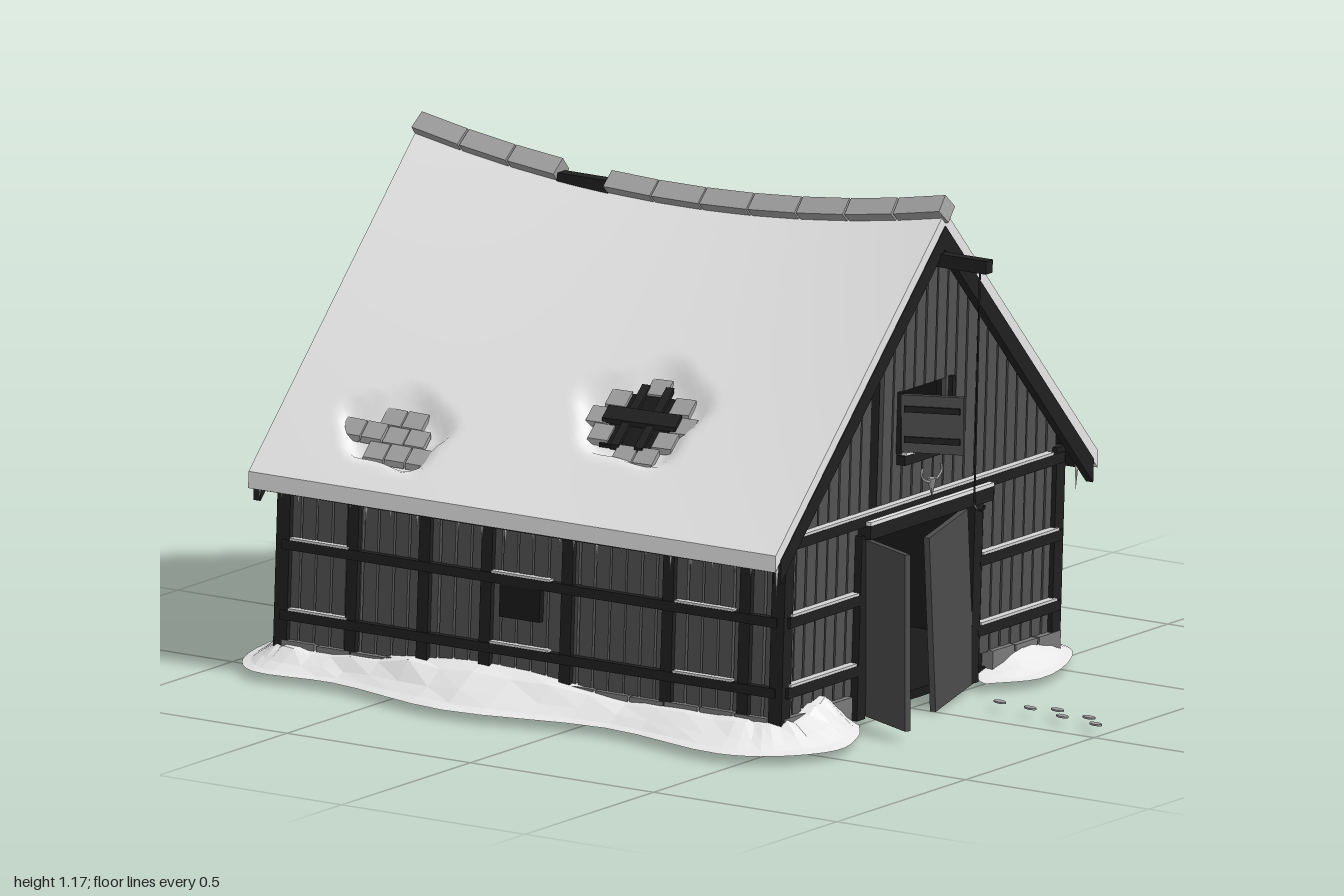
import * as THREE from 'three';

const paint = (name, color, extra = {}) => Object.assign(new THREE.MeshStandardMaterial({ color, ...extra }), { name });
const M = {
  snow: paint('snow', 0xececec),
  drift: paint('drift snow', 0xe8e8e8, { flatShading: true, side: THREE.DoubleSide }),
  plank: paint('weathered plank', 0x525252),
  timber: paint('dark timber', 0x202020),
  inside: paint('interior black', 0x191919),
  door: paint('door wood', 0x4c4c4c),
  slate: paint('slate', 0xa2a2a2),
  stone: paint('foundation stone', 0x7a7a7a),
  ice: paint('ice', 0xd4d4d4),
};

let seed = 7;
const rnd = () => (seed = (seed * 16807) % 2147483647) / 2147483647;

function add(parent, name, geo, mat, x = 0, y = 0, z = 0) {
  const m = new THREE.Mesh(geo, mat);
  m.name = name;
  m.position.set(x, y, z);
  parent.add(m);
  return m;
}
const box = (p, name, mat, w, h, d, x, y, z) => add(p, name, new THREE.BoxGeometry(w, h, d), mat, x, y, z);

const FRONT = 0.5, BACK = -0.85, HALF = 0.525, EAVE = 0.627;
const sagU = z => (z + 0.17) / 0.72;
// Snow surface height: t runs from ridge (0) to eave (1), the ridge sags mid-length
const roofY = (t, z) => THREE.MathUtils.lerp(1.135 - 0.07 * (1 - sagU(z) ** 2), 0.47, t);

// Holes in the snow: side, t, z, radius in t, radius in z
const holes = [
  { side: 1, t: 0.745, z: -0.16, rt: 0.1, rz: 0.17 },
  { side: 1, t: 0.55, z: -0.625, rt: 0.075, rz: 0.095 },
  { side: -1, t: 0.645, z: 0.02, rt: 0.125, rz: 0.14, open: true },
  { side: -1, t: 0.81, z: -0.575, rt: 0.09, rz: 0.12 },
];
const holeDist = (h, t, z) => {
  const a = (t - h.t) / h.rt, b = (z - h.z) / h.rz, ang = Math.atan2(a, b);
  return Math.hypot(a, b) * (1 + 0.09 * Math.sin(5 * ang) + 0.06 * Math.cos(3 * ang));
};

// A slab that follows the sagging roof between two depths below its surface
function roofSlab(p, name, mat, side, t0, t1, z0, z1, top, bottom, nt = 1, nz = 1, dent = false) {
  const g = new THREE.BoxGeometry(1, 1, 1, nt, 1, nz), a = g.attributes.position;
  for (let i = 0; i < a.count; i++) {
    const t = t0 + (t1 - t0) * (0.5 + side * a.getX(i));
    const z = z0 + (z1 - z0) * (a.getZ(i) + 0.5);
    let drop = a.getY(i) > 0 ? top : bottom;
    if (dent && a.getY(i) > 0)
      for (const h of holes) if (h.side === side)
        drop += 0.033 * (1 - THREE.MathUtils.smoothstep(holeDist(h, t, z), 0.85, 1.3));
    a.setXYZ(i, side * EAVE * t, roofY(t, z) - drop, z);
  }
  g.computeVertexNormals();
  return add(p, name, g, mat);
}

function buildRoof(barn) {
  for (const s of [1, -1]) {
    roofSlab(barn, 'roofSnow', M.snow, s, 0, 1, -0.89, 0.548, 0, 0.038, 44, 76, true);
    roofSlab(barn, 'roofDeck', M.timber, s, 0, 0.98, -0.88, 0.538, 0.038, 0.055, 1, 20);
    for (const z of [0.53, -0.888]) roofSlab(barn, 'bargeBoard', M.timber, s, 0, 0.97, z, z + 0.02, 0.034, 0.088);
    // Icicles under the eaves
    for (let z = -0.87; z < 0.54; z += 0.035 + 0.04 * rnd()) {
      const len = 0.025 + 0.045 * rnd() * rnd() + (z > 0.48 ? 0.03 : 0);
      const c = add(barn, 'icicle', new THREE.ConeGeometry(0.005, len, 5), M.ice, s * (EAVE - 0.018), 0.44 - len / 2, z);
      c.rotation.x = Math.PI;
    }
  }
  // Slates and battens exposed in the holes
  for (const h of holes) {
    if (h.open) {
      roofSlab(barn, 'roofOpening', M.inside, h.side, h.t - 0.08, h.t + 0.08, h.z - 0.08, h.z + 0.08, 0.022, 0.03);
      for (const dz of [-0.045, 0.02]) roofSlab(barn, 'rafter', M.timber, h.side, h.t - 0.1, h.t + 0.09, h.z + dz, h.z + dz + 0.022, 0.012, 0.024);
      roofSlab(barn, 'batten', M.timber, h.side, h.t - 0.02, h.t + 0.02, h.z - 0.1, h.z + 0.1, 0.009, 0.02);
    }
    for (let r = -3; r <= 3; r++) for (let c = -4; c <= 4; c++) {
      const t = h.t + r * 0.052, z = h.z + (c + (r & 1) * 0.5) * 0.058, d = holeDist(h, t, z);
      if (d > 0.92 || (h.open && d < 0.72)) continue;
      const top = 0.013 + 0.006 * rnd();
      roofSlab(barn, 'slate', M.slate, h.side, t - 0.024, t + 0.024, z - 0.027, z + 0.027, top, top + 0.014);
    }
  }
  // Ridge caps with one missing
  box(barn, 'ridgeBeam', M.timber, 0.03, 0.03, 0.14, 0, roofY(0, -0.43) - 0.005, -0.43);
  const len = 1.445 / 11;
  for (let i = 0; i < 11; i++) {
    if (i === 7) continue;
    const z = 0.555 - (i + 0.5) * len;
    const cap = box(barn, 'ridgeCap', M.slate, 0.044, 0.044, len - 0.004, 0, roofY(0, z) + 0.005, z);
    cap.rotation.set(-Math.atan(0.14 * sagU(z) / 0.72), 0, Math.PI / 4);
  }
}

const DOOR = [-0.225, 0.185, 0.02, 0.44], HATCH = [-0.1, 0.098, 0.6, 0.735];
const gableTop = (x, z) => roofY(Math.abs(x) / EAVE, z) - 0.05;
const poly = pts => new THREE.Shape(pts.map(p => new THREE.Vector2(...p)));
const extrude = (shape, depth) => new THREE.ExtrudeGeometry(shape, { depth, bevelEnabled: false });

function buildGable(barn, z, dir) {
  const isFront = dir > 0;
  // Dark wall core behind the boards
  const core = poly([[-HALF, 0.02], [HALF, 0.02], [HALF, gableTop(HALF, z)], [0, gableTop(0, z)], [-HALF, gableTop(HALF, z)]]);
  if (isFront) for (const [a, b, c, d] of [DOOR, HATCH])
    core.holes.push(poly([[a, c + 0.005], [a, d], [b, d], [b, c + 0.005]]));
  add(barn, 'gableCore', extrude(core, 0.02), M.inside, 0, 0, z - dir * 0.02 - 0.01);
  // Vertical boards, one missing above the beam
  const n = 26, w = 2 * HALF / n;
  for (let i = 0; i < n; i++) {
    const x0 = -HALF + i * w + 0.002, x1 = x0 + w - 0.004 - 0.003 * rnd(), xc = (x0 + x1) / 2;
    const within = o => isFront && xc > o[0] && xc < o[1];
    const full = [within(DOOR) ? DOOR[3] : 0.075, null];
    let spans = [full];
    if (within(HATCH)) spans = [[full[0], HATCH[2]], [HATCH[3], null]];
    if (i === 8) spans = within(DOOR) ? [] : [[0.075, 0.47]];
    for (const [a, b] of spans)
      add(barn, 'gableBoard', extrude(poly([[x0, a], [x1, a], [x1, b ?? gableTop(x1, z)], [x0, b ?? gableTop(x0, z)]]), 0.012), M.plank, 0, 0, z - 0.006);
  }
  // Cross beams with snow lying on them
  const zb = z + dir * 0.012;
  const beam = (a, b, y) => {
    box(barn, 'crossBeam', M.timber, b - a, 0.024, 0.028, (a + b) / 2, y, zb);
    box(barn, 'beamSnow', M.ice, (b - a) * 0.92, 0.006, 0.02, (a + b) / 2, y + 0.015, zb + dir * 0.003);
  };
  beam(-0.53, 0.53, 0.472);
  for (const y of [0.295, 0.135])
    if (isFront) { beam(-0.53, -0.25, y); beam(0.21, 0.53, y); } else beam(-0.53, 0.53, y);
  for (let x = -0.49; x < 0.5; x += 0.09) if (!isFront || x < -0.27 || x > 0.24)
    box(barn, 'foundationStone', M.stone, 0.084, 0.05 + 0.01 * rnd(), 0.03, x, 0.048, z + dir * 0.005);
}

function buildSide(barn, s) {
  const mid = (FRONT + BACK) / 2, len = FRONT - BACK, n = 32, x = s * HALF;
  box(barn, 'sideCore', M.inside, 0.02, 0.46, len, x - s * 0.016, 0.25, mid);
  for (let i = 0; i < n; i++) {
    const w = len / n;
    box(barn, 'sideBoard', M.plank, 0.012, 0.42, w - 0.004 - 0.003 * rnd(), x, 0.285, BACK + (i + 0.5) * w);
  }
  for (const z of [0.41, 0.2, -0.075, -0.295, -0.465, -0.66]) box(barn, 'sidePost', M.timber, 0.024, 0.43, 0.03, x + s * 0.006, 0.28, z);
  for (const y of [0.295, 0.135]) {
    box(barn, 'sideBeam', M.timber, 0.028, 0.022, len, x + s * 0.008, y, mid);
    for (const z of [-0.75, -0.2, 0.3]) box(barn, 'beamSnow', M.ice, 0.018, 0.005, 0.16, x + s * 0.012, y + 0.0135, z);
  }
  for (let z = -0.8; z < 0.48; z += 0.095) box(barn, 'foundationStone', M.stone, 0.03, 0.05 + 0.012 * rnd(), 0.089, x + s * 0.004, 0.048, z);
  for (const z of [FRONT, BACK]) box(barn, 'cornerPost', M.timber, 0.034, 0.46, 0.036, s * 0.526, 0.265, z);
  if (s > 0) for (const z of [-0.34, -0.38, -0.42]) box(barn, 'sideDoorBatten', M.timber, 0.006, 0.34, 0.008, x + 0.008, 0.25, z);
  else box(barn, 'sideHatch', M.inside, 0.03, 0.08, 0.11, x - 0.006, 0.25, -0.2);
}

function buildFrontDetails(barn, root) {
  for (const x of [-0.24, 0.2]) box(barn, 'doorJamb', M.timber, 0.032, 0.42, 0.04, x, 0.23, 0.505);
  box(barn, 'doorLintel', M.timber, 0.48, 0.032, 0.05, -0.005, 0.448, 0.515);
  box(barn, 'lintelSnow', M.snow, 0.48, 0.008, 0.05, -0.005, 0.468, 0.515);
  for (const x of HATCH.slice(0, 2)) box(barn, 'hatchFrame', M.timber, 0.012, 0.14, 0.025, x, 0.667, 0.505);
  box(barn, 'hatchSill', M.timber, 0.2, 0.022, 0.035, -0.003, 0.583, 0.512);
  box(barn, 'sillSnow', M.snow, 0.19, 0.007, 0.03, -0.003, 0.597, 0.514);
  box(barn, 'hoistBeam', M.timber, 0.026, 0.03, 0.19, -0.005, 1.025, 0.58);
  // Swung leaves: hinge x, y, z, then free end x, z, height and sag
  const leaf = (name, mat, hx, y, hz, fx, fz, h, sag = 0) => {
    const g = new THREE.Group(), w = Math.hypot(fx - hx, fz - hz);
    g.name = name;
    g.position.set(hx, y, hz);
    g.rotation.set(0, Math.atan2(hz - fz, fx - hx), -sag);
    box(g, name + 'Panel', mat, w, h, 0.014, w / 2, h / 2, 0);
    root.add(g);
    return [g, w];
  };
  leaf('rightDoorLeaf', M.door, -0.2, 0.025, 0.52, -0.275, 0.685, 0.405);
  leaf('leftDoorLeaf', M.door, 0.215, 0.02, 0.515, 0.0, 0.56, 0.408, 0.09);
  const [shutter, w] = leaf('hatchShutter', M.door, -0.055, 0.602, 0.515, -0.003, 0.648, 0.132);
  for (const y of [0.03, 0.1]) box(shutter, 'shutterBatten', M.timber, w * 0.9, 0.014, 0.024, w / 2, y, 0);
  // Hoist rope and hook
  const rope = new THREE.LineCurve3(new THREE.Vector3(0.056, 1.02, 0.65), new THREE.Vector3(0.034, 0.49, 0.65));
  add(root, 'hoistRope', new THREE.TubeGeometry(rope, 1, 0.0025, 5), M.timber);
  const hook = add(root, 'hoistHook', new THREE.TorusGeometry(0.014, 0.003, 5, 10, Math.PI * 1.2), M.timber, 0.034, 0.484, 0.664);
  hook.rotation.set(0, Math.PI / 2, Math.PI);
  // Antlered skull over the door
  const skull = add(root, 'skull', new THREE.ConeGeometry(0.012, 0.045, 6), M.slate, 0.032, 0.505, 0.535);
  skull.rotation.x = Math.PI;
  for (const s of [1, -1]) {
    const c = new THREE.CatmullRomCurve3([[0.006, 0.52], [0.025, 0.525], [0.04, 0.54], [0.035, 0.555]].map(([x, y]) => new THREE.Vector3(0.032 + s * x, y, 0.535)));
    add(root, 'antler', new THREE.TubeGeometry(c, 8, 0.003, 5), M.slate);
  }
}

// Snow bank swept along the wall: rows of inner x, z, outer x, z, height
function buildDrift(root, rows) {
  const inner = new THREE.CatmullRomCurve3(rows.map(r => new THREE.Vector3(r[0], r[4], r[1])));
  const outer = new THREE.CatmullRomCurve3(rows.map(r => new THREE.Vector3(r[2], 0, r[3])));
  const section = [[0, 1], [0.3, 0.88], [0.6, 0.42], [0.82, 0.12], [1, 0], [0, 0]];
  const n = (rows.length - 1) * 4, k = section.length, pos = [], idx = [];
  for (let i = 0; i <= n; i++) {
    const a = inner.getPoint(i / n), b = outer.getPoint(i / n);
    section.forEach(([s, f], j) => {
      const bump = j > 0 && j < 4 ? 0.85 + 0.3 * rnd() : 1;
      pos.push(a.x + (b.x - a.x) * s, 0.02 + Math.max(a.y, 0) * f * bump, a.z + (b.z - a.z) * s);
      if (i === n) return;
      const p = i * k + j, q = i * k + (j + 1) % k;
      idx.push(p, p + k, q, q, p + k, q + k);
    });
  }
  const g = new THREE.BufferGeometry();
  g.setAttribute('position', new THREE.Float32BufferAttribute(pos, 3));
  g.setIndex(idx);
  g.computeVertexNormals();
  add(root, 'snowDrift', g, M.drift);
}

export function createModel() {
  const root = new THREE.Group(), barn = new THREE.Group();
  root.name = 'snowyBarn';
  barn.name = 'barn';
  root.add(barn);
  box(barn, 'floor', M.inside, 1.05, 0.02, 1.35, 0, 0.03, -0.175);
  buildGable(barn, FRONT, 1);
  buildGable(barn, BACK, -1);
  for (const s of [1, -1]) buildSide(barn, s);
  buildRoof(barn);
  buildFrontDetails(barn, root);
  // The whole frame leans sideways
  const lean = new THREE.Matrix4().set(1, 0.05, 0, 0.01, 0, 1, 0, 0, 0, 0, 1, 0, 0, 0, 0, 1);
  for (const m of barn.children) {
    m.updateMatrix();
    m.geometry.applyMatrix4(m.matrix).applyMatrix4(lean);
    m.position.set(0, 0, 0);
    m.rotation.set(0, 0, 0);
  }
  buildDrift(root, [
    [-0.26, 0.48, -0.27, 0.55, 0.02], [-0.36, 0.48, -0.36, 0.61, 0.08], [-0.45, 0.48, -0.5, 0.65, 0.06],
    [-0.51, 0.47, -0.63, 0.57, 0.05], [-0.51, 0.4, -0.68, 0.45, 0.05], [-0.51, 0.1, -0.62, 0.1, 0.05],
    [-0.51, -0.3, -0.685, -0.3, 0.08], [-0.51, -0.65, -0.61, -0.65, 0.05], [-0.51, -0.82, -0.62, -0.86, 0.05],
    [-0.49, -0.84, -0.53, -0.95, 0.05], [-0.3, -0.84, -0.3, -1, 0.08], [0.1, -0.84, 0.1, -0.93, 0.05],
    [0.45, -0.84, 0.47, -0.995, 0.08], [0.53, -0.83, 0.6, -0.9, 0.05], [0.53, -0.75, 0.66, -0.72, 0.035],
    [0.53, -0.6, 0.68, -0.6, 0.045], [0.53, -0.5, 0.6, -0.47, 0.005]]);
  buildDrift(root, [
    [0.53, -0.28, 0.57, -0.28, 0.005], [0.53, -0.1, 0.66, -0.12, 0.075], [0.53, 0.05, 0.68, 0.03, 0.055],
    [0.53, 0.33, 0.64, 0.3, 0.075], [0.53, 0.45, 0.63, 0.48, 0.05], [0.5, 0.48, 0.54, 0.56, 0.045],
    [0.38, 0.48, 0.33, 0.62, 0.04], [0.25, 0.48, 0.22, 0.55, 0.005]]);
  // Footprints leading to the door
  [[0.09, 0.68], [0.08, 0.77], [0.1, 0.83], [0.055, 0.875], [0.08, 0.93], [0.035, 0.98]].forEach(([x, z]) => {
    const f = add(root, 'footprint', new THREE.CylinderGeometry(0.019, 0.019, 0.004, 10), M.slate, x, 0.022, z);
    f.scale.x = 0.5;
    f.rotation.y = -0.25;
  });
  return root;
}
